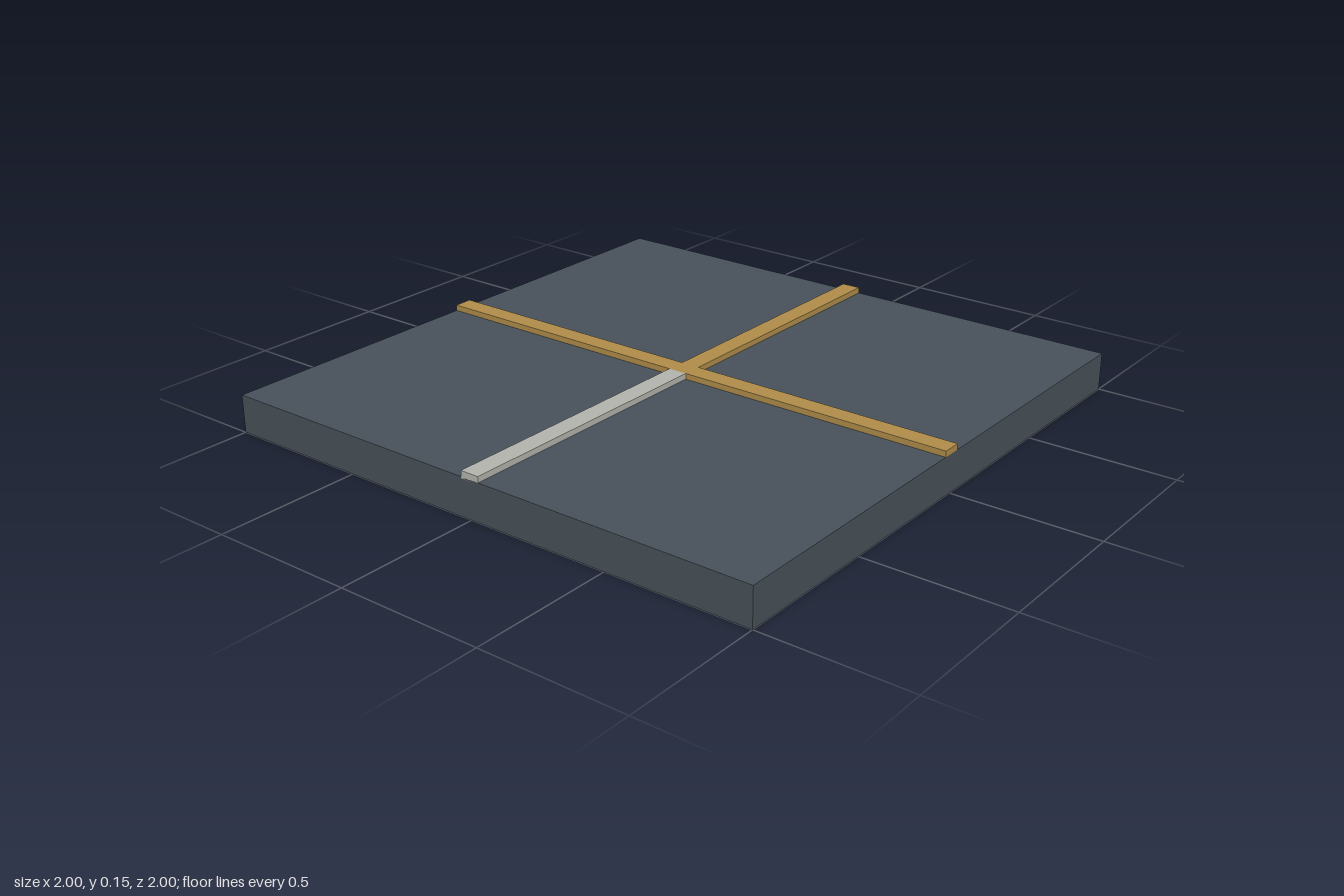
import * as THREE from 'three';

const mat = (name, color) => {
  const m = new THREE.MeshStandardMaterial({ color });
  m.name = name;
  return m;
};

export function createModel() {
  const group = new THREE.Group();
  const slate = mat('slate', 0x48525a);
  const brass = mat('brass', 0xb08d4a);
  const silver = mat('silver', 0xb5b5ae);

  // Box given by its size, centre x and bottom height
  const addBox = (name, material, [w, h, d], x, bottom) => {
    const mesh = new THREE.Mesh(new THREE.BoxGeometry(w, h, d), material);
    mesh.name = name;
    mesh.position.set(x, bottom + h / 2, 0);
    group.add(mesh);
  };

  const baseHeight = 0.13;
  const width = 0.067; // strip width
  const sunk = 0.005; // strips are set slightly into the slab
  const height = 0.02 + sunk;
  const arm = 1 - width / 2;
  const armX = (1 + width / 2) / 2;

  // Square slab
  addBox('slab', slate, [2, baseHeight, 2], 0, 0);

  // Raised inlay strips crossing at the middle
  addBox('longStrip', brass, [width, height, 2], 0, baseHeight - sunk);
  addBox('leftStrip', brass, [arm, height, width], armX, baseHeight - sunk);
  addBox('rightStrip', silver, [arm, height, width], -armX, baseHeight - sunk);

  return group;
}
